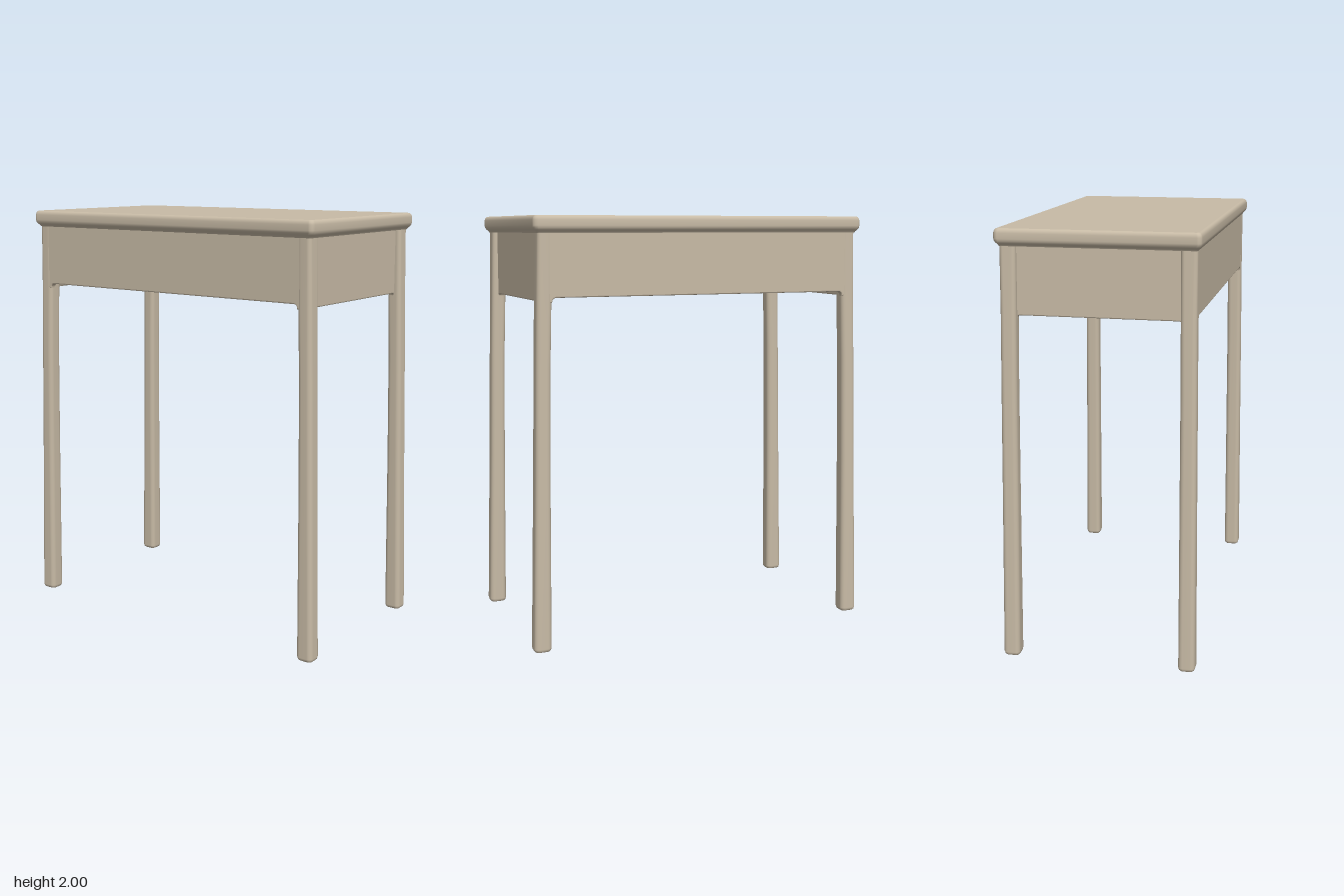
import * as THREE from 'three';

// Smooth loft through rounded rectangles: each section is [y, cx, cz, halfX, halfZ, radius]
function loft(sections, steps = 5) {
  const pos = [], index = [];
  const n = 4 * (steps + 1);
  const ring = ([y, cx, cz, hx, hz, r]) => {
    for (let c = 0; c < 4; c++) {
      const sx = c === 0 || c === 3 ? 1 : -1;
      const sz = c < 2 ? 1 : -1;
      for (let s = 0; s <= steps; s++) {
        const a = (c + s / steps) * Math.PI / 2;
        pos.push(cx + sx * (hx - r) + r * Math.cos(a), y, cz + sz * (hz - r) + r * Math.sin(a));
      }
    }
  };
  sections.forEach(ring);
  for (let i = 0; i < sections.length - 1; i++) {
    for (let j = 0; j < n; j++) {
      const a = i * n + j, b = i * n + (j + 1) % n;
      index.push(a, a + n, b, b, a + n, b + n);
    }
  }
  // Flat end caps with their own vertices
  const cap = (section, up) => {
    const start = pos.length / 3;
    ring(section);
    for (let j = 1; j < n - 1; j++) {
      if (up) index.push(start, start + j + 1, start + j);
      else index.push(start, start + j, start + j + 1);
    }
  };
  cap(sections[0], false);
  cap(sections[sections.length - 1], true);
  const geo = new THREE.BufferGeometry();
  geo.setAttribute('position', new THREE.Float32BufferAttribute(pos, 3));
  geo.setIndex(index);
  geo.computeVertexNormals();
  return geo;
}

// Upright board with small fillets dropping into the legs at both ends
function apronGeometry(half, inner, bottom, top, fillet, depth) {
  const s = new THREE.Shape();
  s.moveTo(-half, top);
  s.lineTo(-half, bottom - fillet);
  s.lineTo(-inner, bottom - fillet);
  s.quadraticCurveTo(-inner, bottom, -inner + fillet, bottom);
  s.lineTo(inner - fillet, bottom);
  s.quadraticCurveTo(inner, bottom, inner, bottom - fillet);
  s.lineTo(half, bottom - fillet);
  s.lineTo(half, top);
  s.closePath();
  const b = 0.006;
  const geo = new THREE.ExtrudeGeometry(s, {
    depth: depth - 2 * b, bevelEnabled: true, bevelSize: b, bevelThickness: b,
    bevelOffset: -b, bevelSegments: 3, curveSegments: 8,
  });
  return geo.translate(0, 0, b - depth);
}

export function createModel() {
  const model = new THREE.Group();
  model.name = 'table';
  const paint = new THREE.MeshStandardMaterial({ color: 0xc8bba6 });
  paint.name = 'warm beige';
  const add = (name, geo) => {
    const mesh = new THREE.Mesh(geo, paint);
    mesh.name = name;
    model.add(mesh);
    return mesh;
  };

  // Table top with rounded rim and a coved underside
  const rim = [
    [1.922, 0.02], [1.928, 0.017], [1.936, 0.008], [1.945, 0.002], [1.955, 0],
    [1.98, 0], [1.99, 0.003], [1.997, 0.008], [2, 0.016],
  ];
  add('tableTop', loft(rim.map(([y, inset]) => [y, 0, 0, 0.828 - inset, 0.457 - inset, 0.022 - inset * 0.5])));

  // Four slightly splayed legs: [y, outer x, inner x, outer z, inner z, radius]
  const legProfile = [
    [0, 0.846, 0.779, 0.447, 0.385, 0.016],
    [0.005, 0.851, 0.774, 0.452, 0.38, 0.02],
    [0.016, 0.854, 0.771, 0.455, 0.377, 0.022],
    [0.8, 0.833, 0.761, 0.447, 0.372, 0.022],
    [1.3, 0.821, 0.752, 0.442, 0.369, 0.022],
    [1.62, 0.812, 0.742, 0.438, 0.366, 0.02],
    [1.95, 0.804, 0.738, 0.437, 0.363, 0.018],
  ];
  for (const sx of [1, -1]) {
    for (const sz of [1, -1]) {
      const name = (sz > 0 ? 'front' : 'back') + (sx > 0 ? 'Left' : 'Right') + 'Leg';
      add(name, loft(legProfile.map(([y, xo, xi, zo, zi, r]) =>
        [y, sx * (xo + xi) / 2, sz * (zo + zi) / 2, (xo - xi) / 2, (zo - zi) / 2, r])));
    }
  }

  // Long aprons flush with the legs, short aprons set back between them
  const longApron = apronGeometry(0.78, 0.741, 1.635, 1.94, 0.022, 0.03);
  const shortApron = apronGeometry(0.4, 0.366, 1.615, 1.94, 0.012, 0.03);
  [1, -1].forEach((side) => {
    const long = add(side > 0 ? 'frontApron' : 'backApron', longApron);
    long.position.z = side * 0.436;
    long.rotation.y = side > 0 ? 0 : Math.PI;
    const short = add(side > 0 ? 'leftApron' : 'rightApron', shortApron);
    short.position.x = side * 0.782;
    short.rotation.y = side * Math.PI / 2;
  });

  // Closed compartment behind the aprons
  const box = add('compartment', new THREE.BoxGeometry(1.52, 0.3, 0.84));
  box.position.y = 1.79;

  return model;
}
